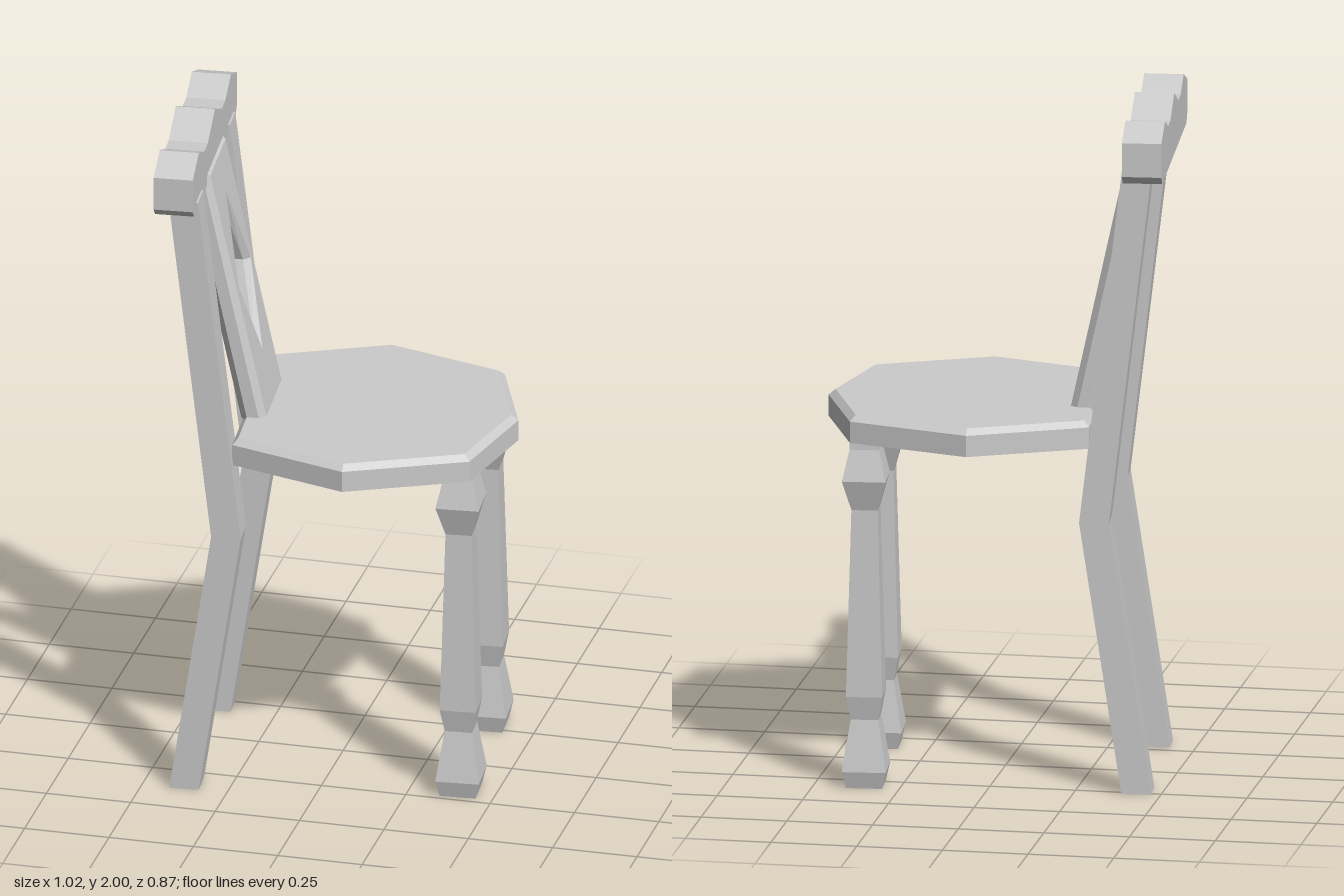
import * as THREE from 'three';

const material = new THREE.MeshStandardMaterial({ color: 0xcccccc, flatShading: true });

function part(name, geometry) {
  const mesh = new THREE.Mesh(geometry, material);
  mesh.name = name;
  return mesh;
}

// Skins a stack of convex rings (listed bottom to top) and caps both ends.
function loft(rings) {
  const pos = [];
  const tri = (a, b, c) => pos.push(...a, ...b, ...c);
  const n = rings[0].length;
  for (let r = 0; r < rings.length - 1; r++) {
    const lo = rings[r], hi = rings[r + 1];
    for (let i = 0; i < n; i++) {
      const j = (i + 1) % n;
      tri(lo[i], lo[j], hi[j]);
      tri(lo[i], hi[j], hi[i]);
    }
  }
  const bottom = rings[0], top = rings[rings.length - 1];
  for (let i = 1; i < n - 1; i++) {
    tri(bottom[0], bottom[i + 1], bottom[i]);
    tri(top[0], top[i], top[i + 1]);
  }
  const geometry = new THREE.BufferGeometry();
  geometry.setAttribute('position', new THREE.Float32BufferAttribute(pos, 3));
  geometry.computeVertexNormals();
  return geometry;
}

const rectRing = (x, y, z, hx, hz) => [
  [x + hx, y, z + hz], [x + hx, y, z - hz], [x - hx, y, z - hz], [x - hx, y, z + hz],
];

const shapeOf = (points) => new THREE.Shape(points.map(([x, y]) => new THREE.Vector2(x, y)));

export function createModel() {
  const chair = new THREE.Group();
  chair.name = 'chair';
  // the chair faces +x, turned a little
  chair.rotation.y = 0.085;

  // seven-sided seat with a chamfered top edge
  const half = [[0.42, 0.306], [0.072, 0.437], [-0.27, 0.306]];
  const outline = [[0.511, 0], ...half.map(([x, z]) => [x, -z]), ...half.slice().reverse()];
  const seatRing = (y, s) => outline.map(([x, z]) => [0.07 + (x - 0.07) * s, y, 0.006 + z * s]);
  chair.add(part('seat', loft([seatRing(1.02, 1), seatRing(1.083, 1), seatRing(1.1, 0.955)])));

  // shaped front legs: height, half width
  const legProfile = [[0, 0.055], [0.05, 0.067], [0.2, 0.042], [0.27, 0.055],
    [0.82, 0.04], [0.91, 0.066], [1.0, 0.045], [1.03, 0.044]];
  for (const [name, z] of [['frontLegLeft', -0.254], ['frontLegRight', 0.208]]) {
    chair.add(part(name, loft(legProfile.map(([y, h]) => rectRing(0.378, y, z, h * 0.95, h * 1.02)))));
  }

  // bent back legs running up into the posts
  const bend = [[0, -0.406], [0.8, -0.284], [1.85, -0.408]];
  for (const [name, z] of [['backLegLeft', -0.256], ['backLegRight', 0.291]]) {
    chair.add(part(name, loft(bend.map(([y, x]) => rectRing(x, y, z, 0.043, 0.046)))));
  }

  // leaning back splat with a diamond opening
  const splatShape = shapeOf([[-0.142, 1.08], [0.142, 1.08], [0.142, 1.86], [-0.142, 1.86]]);
  splatShape.holes.push(new THREE.Path(
    [[0, 1.27], [-0.09, 1.49], [0, 1.72], [0.09, 1.49]].map(([x, y]) => new THREE.Vector2(x, y))));
  const splat = new THREE.ExtrudeGeometry(splatShape, {
    depth: 0.035, bevelEnabled: true, bevelSegments: 1,
    bevelThickness: 0.02, bevelSize: 0.016, bevelOffset: -0.013,
  });
  splat.rotateY(Math.PI / 2);
  const p = splat.attributes.position;
  for (let i = 0; i < p.count; i++) {
    p.setX(i, p.getX(i) - 0.255 - 0.218 * (p.getY(i) - 1.1));
  }
  splat.translate(0, 0, 0.008);
  splat.computeVertexNormals();
  chair.add(part('backSplat', splat));

  // top rail with three crests
  const crest = [[0.38, 1.945], [0.275, 1.985], [0.18, 1.947], [0.12, 1.947]];
  const railShape = shapeOf([
    [-0.38, 1.845], [-0.355, 1.82], [0.355, 1.82], [0.38, 1.845],
    ...crest, [0, 2], ...crest.slice().reverse().map(([x, y]) => [-x, y]),
  ]);
  const rail = new THREE.ExtrudeGeometry(railShape, { depth: 0.114, bevelEnabled: false });
  rail.rotateY(Math.PI / 2);
  rail.translate(-0.485, 0, 0.012);
  chair.add(part('topRail', rail));

  const model = new THREE.Group();
  model.name = 'model';
  model.add(chair);
  return model;
}
